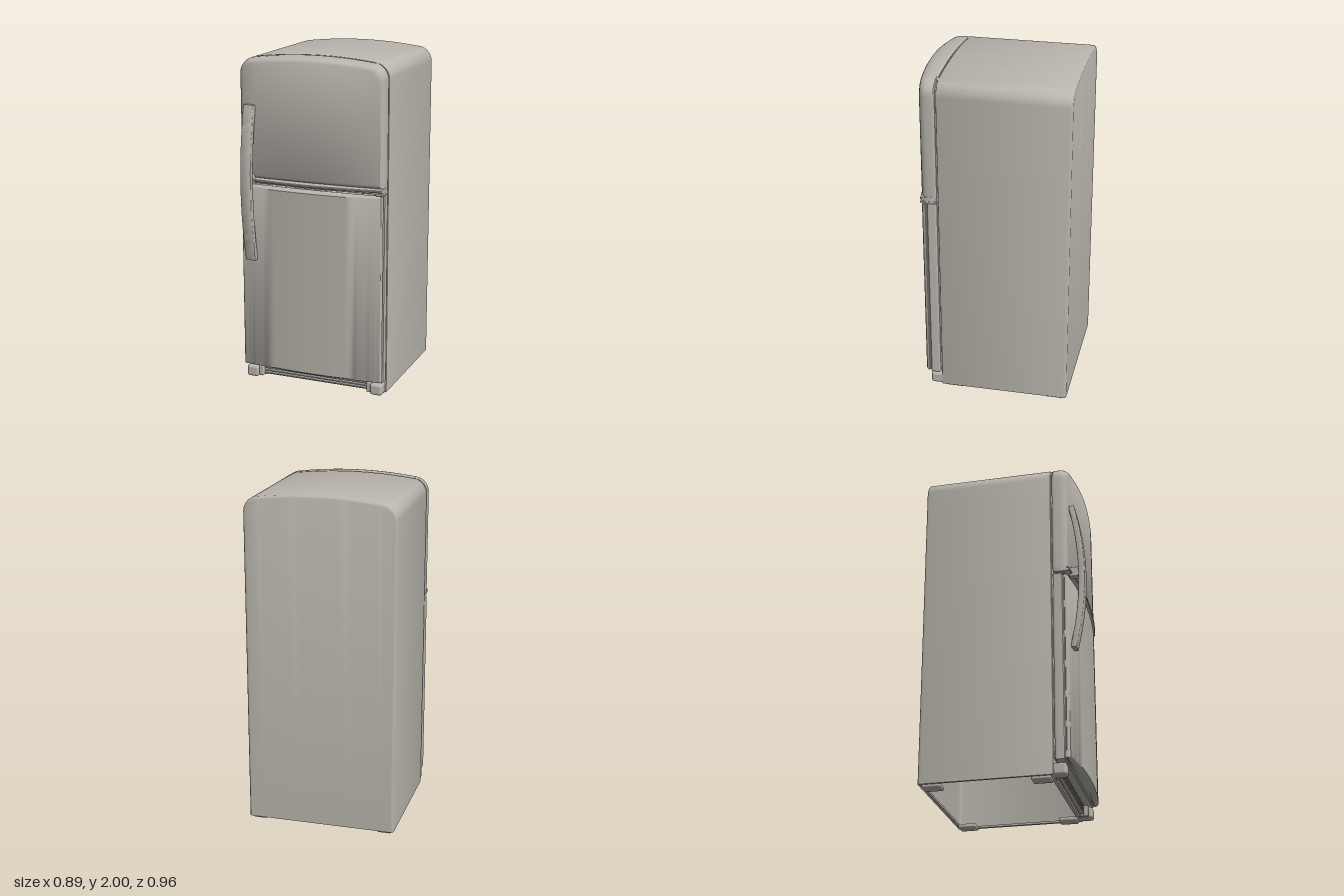
import * as THREE from 'three';
import { toCreasedNormals } from 'three/addons/utils/BufferGeometryUtils.js';
import { RoundedBoxGeometry } from 'three/addons/geometries/RoundedBoxGeometry.js';

const W = 0.445; // half width of cabinet and doors
const N = 56;

// Gently arched top with rounded shoulders
function archTop(x) {
  const r = 0.075, e = W - Math.abs(x);
  const drop = e < r ? r - Math.sqrt(Math.max(0, r * r - (r - e) ** 2)) : 0;
  return 2 - 0.025 * (x / 0.37) ** 2 - drop;
}

const bow = (x) => 0.035 * (1 - (x / W) ** 2);

// Loft through layers [z, inset, bowFactor], each ring running along the top then back along the bottom
function slab(top, bottom, layers, openBottom = false) {
  const pos = [], idx = [], R = 2 * N + 2;
  for (const [z, inset, f = 0] of layers) {
    for (let k = 0; k < R; k++) {
      const i = k <= N ? k : 2 * N + 1 - k;
      const u = -Math.cos((Math.PI * i) / N);
      const x = u * (W - inset);
      const y = k <= N ? top(u * W) - inset : bottom + (openBottom ? 0 : inset);
      pos.push(x, y, z + f * bow(x));
    }
  }
  for (let l = 0; l < layers.length - 1; l++) {
    for (let k = 0; k < R; k++) {
      if (openBottom && k > N && k < R - 1) continue;
      const a = l * R + k, b = l * R + ((k + 1) % R);
      idx.push(a, a + R, b, b, a + R, b + R);
    }
  }
  const last = (layers.length - 1) * R;
  for (let i = 0; i < N; i++) {
    const j = R - 1 - i;
    idx.push(last + i, last + j, last + i + 1, last + i + 1, last + j, last + j - 1);
    idx.push(i, i + 1, j, i + 1, j - 1, j);
  }
  const g = new THREE.BufferGeometry();
  g.setAttribute('position', new THREE.Float32BufferAttribute(pos, 3));
  g.setIndex(idx);
  return toCreasedNormals(g, 0.6);
}

export function createModel() {
  const group = new THREE.Group();
  group.name = 'refrigerator';
  const enamel = new THREE.MeshStandardMaterial({ color: 0xbab6ae, side: THREE.DoubleSide });
  enamel.name = 'warm grey enamel';

  function add(name, geometry, x = 0, y = 0, z = 0) {
    const m = new THREE.Mesh(geometry, enamel);
    m.name = name;
    m.position.set(x, y, z);
    group.add(m);
    return m;
  }
  const box = (name, w, h, d, x, y, z, r = 0) =>
    add(name, r ? new RoundedBoxGeometry(w, h, d, 3, r) : new THREE.BoxGeometry(w, h, d), x, y, z);

  // Hollow cabinet, open underneath
  add('cabinet', slab(archTop, 0.018, [
    [-0.478, 0.014], [-0.475, 0.007], [-0.468, 0.002], [-0.46, 0],
    [0.283, 0], [0.288, 0.002], [0.29, 0.006],
  ], true));

  // Folded rim around the open underside
  const rim = new THREE.Shape();
  rim.moveTo(-0.44, -0.285).lineTo(0.44, -0.285).lineTo(0.44, 0.47).lineTo(-0.44, 0.47).closePath();
  const hole = new THREE.Path();
  hole.moveTo(-0.425, -0.265).lineTo(-0.425, 0.455).lineTo(0.425, 0.455).lineTo(0.425, -0.265).closePath();
  rim.holes.push(hole);
  const rimGeo = new THREE.ExtrudeGeometry(rim, { depth: 0.012, bevelEnabled: false });
  rimGeo.rotateX(-Math.PI / 2);
  add('bottomRim', rimGeo, 0, 0.018, 0);

  // Door gaskets, set in from the edge
  add('doorGasket', slab(archTop, 0.1, [[0.288, 0.014], [0.305, 0.014]]));

  // Doors with bowed fronts and rounded edges
  const doorLayers = [
    [0.298, 0.006], [0.304, 0.001], [0.312, 0], [0.35, 0.001, 0], [0.364, 0.004, 0.3],
    [0.375, 0.01, 0.65], [0.382, 0.018, 0.88], [0.386, 0.03, 1],
  ];
  add('freezerDoor', slab(archTop, 1.268, doorLayers));
  const lowerLayers = [
    [0.298, 0.006], [0.304, 0.001], [0.312, 0], [0.352, 0], [0.357, 0.007, 0.1], [0.363, 0.007, 0.2],
    [0.366, 0.003, 0.35], [0.376, 0.006, 0.7], [0.383, 0.011, 0.92], [0.386, 0.018, 1],
  ];
  add('mainDoor', slab(() => 1.236, 0.1, lowerLayers));

  // Lip under the freezer door and recessed divider between the doors
  add('freezerDoorLip', slab(() => 1.276, 1.25, [
    [0.3, 0.004], [0.306, 0], [0.36, 0, 0.2], [0.38, 0.003, 0.7], [0.392, 0.006, 1], [0.395, 0.01, 1],
  ]));
  add('doorDivider', slab(() => 1.256, 1.23, [[0.295, 0.01], [0.36, 0.01], [0.365, 0.012, 0.8]]));
  box('middleHinge', 0.04, 0.014, 0.1, 0.424, 1.243, 0.345, 0.004);

  // Long bowed handle
  const hs = new THREE.Shape();
  hs.moveTo(0.392, 1.705);
  hs.lineTo(0.418, 1.705);
  hs.quadraticCurveTo(0.53, 1.245, 0.418, 0.785);
  hs.lineTo(0.392, 0.785);
  hs.quadraticCurveTo(0.5, 1.245, 0.392, 1.705);
  const handleGeo = new THREE.ExtrudeGeometry(hs, {
    depth: 0.053, curveSegments: 28, bevelThickness: 0.006, bevelSize: 0.005, bevelSegments: 3,
  });
  handleGeo.rotateY(-Math.PI / 2);
  add('handle', toCreasedNormals(handleGeo, 0.7), -0.341, 0, 0);
  for (const y of [0.8, 1.27, 1.69]) {
    const d = y === 1.27 ? 0.06 : 0.035;
    box('handleMount', 0.045, y === 1.27 ? 0.06 : 0.03, d, -0.367, y, 0.385 + d / 2, 0.006);
  }

  // Front toe grille
  box('grilleBack', 0.68, 0.06, 0.008, 0, 0.06, 0.292);
  for (let i = 0; i < 4; i++) box('grilleSlat', 0.67, 0.007, 0.022, 0, 0.036 + i * 0.016, 0.306);

  // Front corner feet, underside pads and top hinge covers
  for (const s of [-1, 1]) {
    box('frontFoot', 0.075, 0.07, 0.085, s * 0.4, 0.05, 0.318, 0.016);
    box('footInnerPost', 0.03, 0.066, 0.06, s * 0.35, 0.053, 0.31, 0.008);
    for (const z of [0.215, -0.405]) box('levellingPad', 0.085, 0.026, 0.11, s * 0.385, 0.013, z, 0.01);
    box('topHingeCover', 0.05, 0.012, 0.04, s * 0.36, 1.966, 0.295, 0.004);
  }
  return group;
}
